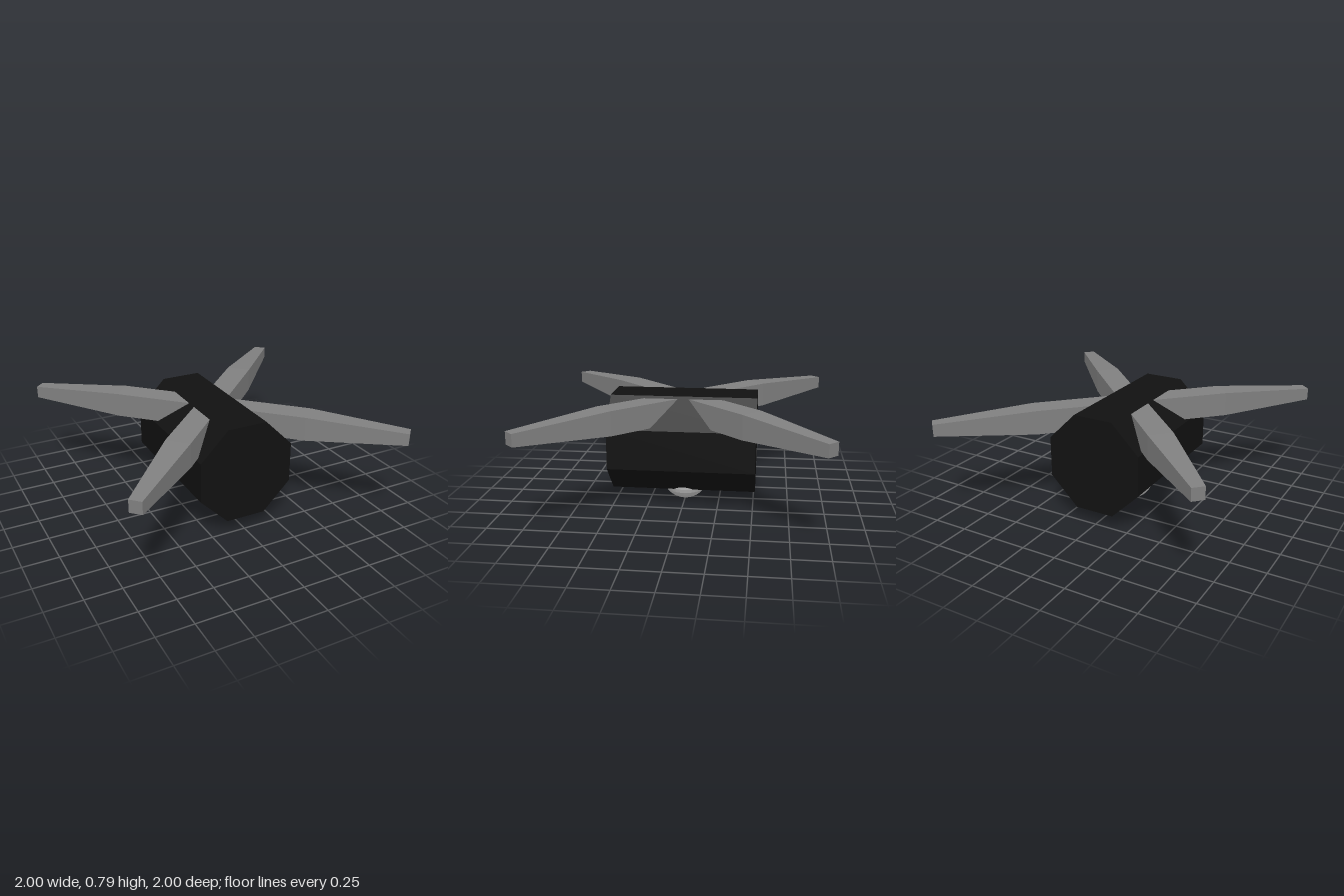
import * as THREE from 'three';

export function createModel() {
  const group = new THREE.Group();
  const make = (name, color) => {
    const m = new THREE.MeshStandardMaterial({ color, flatShading: true });
    m.name = name;
    return m;
  };
  const bodyBlack = make('bodyBlack', 0x111111);
  const armGrey = make('armGrey', 0x808080);
  const domeGrey = make('domeGrey', 0xcccccc);

  const add = (name, geometry, material) => {
    const mesh = new THREE.Mesh(geometry, material);
    mesh.name = name;
    group.add(mesh);
    return mesh;
  };

  // octagonal fuselage lying along z, flat side up
  const bodyGeo = new THREE.CylinderGeometry(0.371, 0.371, 1.026, 8);
  bodyGeo.rotateY(Math.PI / 8).rotateX(Math.PI / 2);
  add('body', bodyGeo, bodyBlack).position.y = 0.448;

  // camera dome under the belly
  add('cameraDome', new THREE.SphereGeometry(0.17, 32, 16), domeGrey).position.y = 0.17;

  // square arm along +x: straight to the middle, then tapering to the tip
  const armGeo = new THREE.BoxGeometry(2, 0.17, 0.17, 2, 1, 1);
  const p = armGeo.attributes.position;
  for (let i = 0; i < p.count; i++) {
    const station = Math.round(p.getX(i)) + 1;
    const scale = [1, 1, 0.5][station];
    p.setXYZ(i, [0, 0.69, 1.372][station], p.getY(i) * scale, p.getZ(i) * scale);
  }
  ['frontLeftArm', 'backLeftArm', 'backRightArm', 'frontRightArm'].forEach((name, i) => {
    const arm = add(name, armGeo, armGrey);
    arm.position.y = 0.69;
    arm.rotation.y = -Math.PI / 4 + i * Math.PI / 2;
  });

  return group;
}
